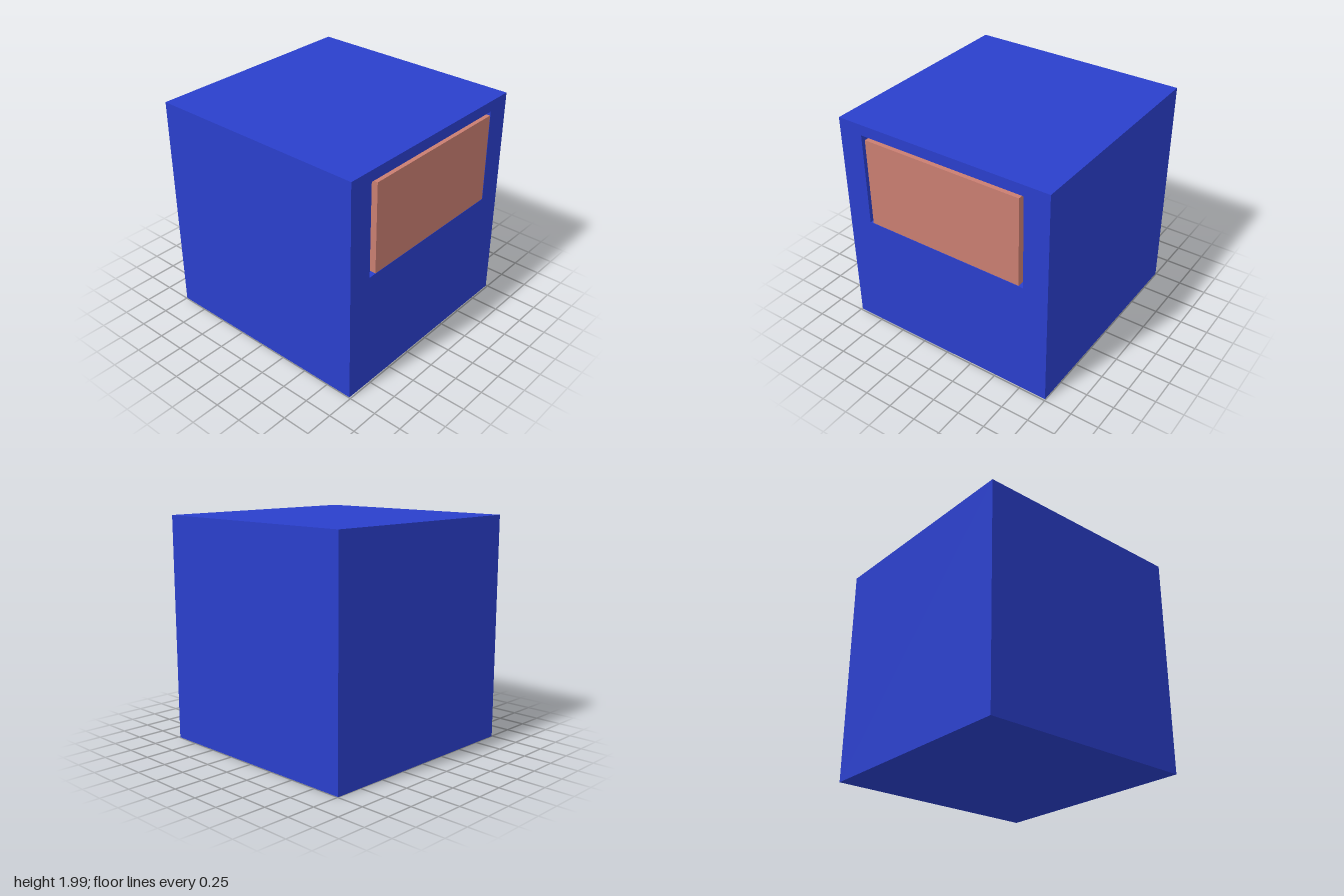
import * as THREE from 'three';

const X0 = -1, X1 = 0.985;      // body extent in x
const H = 1.99, W = 1.988;      // body height and width in z
const DEPTH = 0.1;              // recess depth behind the +x face

function part(name, geometry, color) {
  const mesh = new THREE.Mesh(geometry, new THREE.MeshStandardMaterial({ color }));
  mesh.name = name;
  return mesh;
}

// Box given by its lower and upper corners
function boxBetween(a, b) {
  return new THREE.BoxGeometry(b[0] - a[0], b[1] - a[1], b[2] - a[2])
    .translate((a[0] + b[0]) / 2, (a[1] + b[1]) / 2, (a[2] + b[2]) / 2);
}

// Rectangle outline added to a shape or path
function rect(path, x0, y0, x1, y1) {
  path.moveTo(x0, y0);
  path.lineTo(x1, y0);
  path.lineTo(x1, y1);
  path.lineTo(x0, y1);
  path.closePath();
  return path;
}

export function createModel() {
  const model = new THREE.Group();
  model.name = 'cabinet';
  const blue = 0x2a3fcc, salmon = 0xc97e71;

  // Solid block; its +x side is the floor of the recess
  model.add(part('body', boxBetween([X0, 0, -W / 2], [X1 - DEPTH, H, W / 2]), blue));

  // Face slab with a rectangular opening, extruded along +x
  const face = rect(new THREE.Shape(), -W / 2, 0, W / 2, H);
  face.holes.push(rect(new THREE.Path(), -0.77, 1.06, 0.77, 1.895));
  const slab = new THREE.ExtrudeGeometry(face, { depth: DEPTH, bevelEnabled: false })
    .rotateY(Math.PI / 2)
    .translate(X1 - DEPTH, 0, 0);
  model.add(part('recessedFace', slab, blue));

  // Panel set in the opening, standing slightly proud of the face
  model.add(part('panel', boxBetween([X1 - DEPTH, 1.08, -0.74], [1, 1.875, 0.72]), salmon));

  return model;
}
